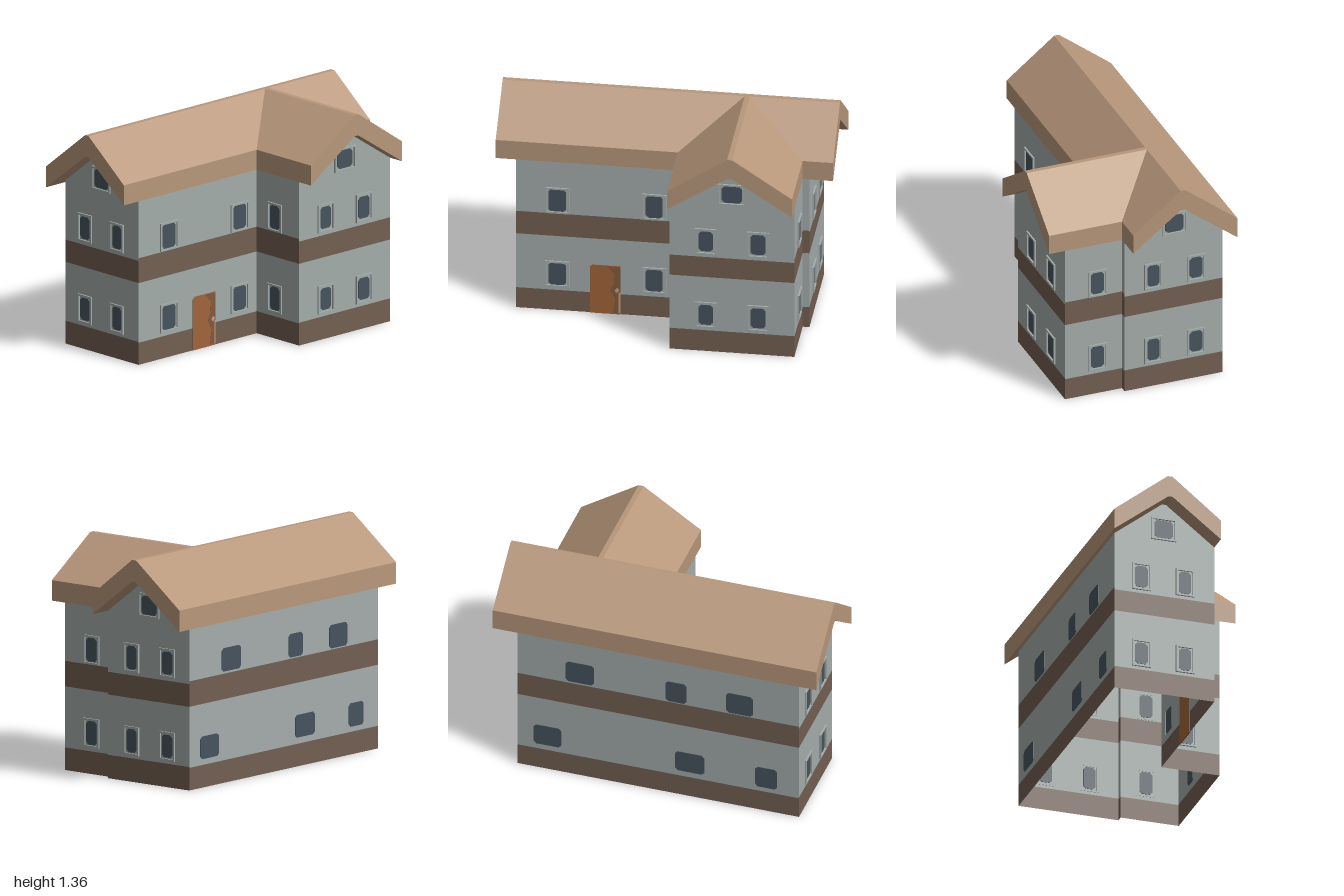
import * as THREE from 'three';

const mat = (name, color, side = THREE.FrontSide) => {
  const m = new THREE.MeshStandardMaterial({ color, side });
  m.name = name;
  return m;
};
const M = {
  wall: mat('grey plaster', 0xa4adab, THREE.DoubleSide),
  band: mat('brown band', 0x735f51, THREE.DoubleSide),
  roof: mat('tan roof', 0xb8977b),
  glass: mat('dark glass', 0x46535e),
  door: mat('orange wood', 0xa0653a),
  doorDark: mat('brown wood', 0x83593f),
  doorLight: mat('pale wood', 0xc9a184),
};

const poly = (pts) => new THREE.Shape(pts.map(([x, y]) => new THREE.Vector2(x, y)));
const rect = (w, h) => poly([[-w / 2, -h / 2], [w / 2, -h / 2], [w / 2, h / 2], [-w / 2, h / 2]]);

function add(parent, name, geometry, material, x = 0, y = 0, z = 0) {
  const mesh = new THREE.Mesh(geometry, material);
  mesh.name = name;
  mesh.position.set(x, y, z);
  parent.add(mesh);
  return mesh;
}

const extrude = (shape, depth) => new THREE.ExtrudeGeometry(shape, { depth, bevelEnabled: false });

// Window: raised lip around a pane with clipped corners; frameW = 0 leaves the pane bare
function addWindow(parent, [u, y, frameW, frameH, paneW, paneH]) {
  const win = new THREE.Group();
  win.name = 'window';
  win.position.set(u, y, 0);
  parent.add(win);
  if (frameW) {
    const ring = rect(frameW, frameH);
    ring.holes.push(rect(frameW - 0.022, frameH - 0.022));
    add(win, 'windowFrame', extrude(ring, 0.012), M.wall, 0, 0, -0.002);
  }
  const w = paneW / 2, h = paneH / 2, c = 0.016;
  const pane = poly([[-w + c, -h], [w - c, -h], [w, -h + c], [w, h - c],
    [w - c, h], [-w + c, h], [-w, h - c], [-w, -h + c]]);
  add(win, 'windowPane', extrude(pane, 0.006), M.glass, 0, 0, -0.003);
}

// Wall facing yaw at distance d; u runs to the right as seen from outside
function addWall(parent, name, yaw, d, u0, u1, [low, high], windows = [], gable = false) {
  const wall = new THREE.Group();
  wall.name = name;
  wall.position.set(Math.sin(yaw) * d, 0, Math.cos(yaw) * d);
  wall.rotation.y = yaw;
  parent.add(wall);
  const strip = (label, y0, y1, material) =>
    add(wall, label, new THREE.PlaneGeometry(u1 - u0, y1 - y0), material, (u0 + u1) / 2, (y0 + y1) / 2);
  strip('baseBand', 0, low, M.band);
  strip('lowerWall', low, 0.5, M.wall);
  strip('middleBand', 0.5, high, M.band);
  const mid = (u0 + u1) / 2;
  const top = gable ? [[u1, 1], [mid + 0.015, 1.23], [mid - 0.015, 1.23], [u0, 1]] : [[u1, 1], [u0, 1]];
  add(wall, 'upperWall', new THREE.ShapeGeometry(poly([[u0, high], [u1, high], ...top])), M.wall);
  windows.forEach((w) => addWindow(wall, w));
  return wall;
}

// The same window on both floors
const floors = (u, frameW, paneW, paneH) =>
  [0.245, 0.742].map((y) => [u, y, frameW, 0.172, paneW, paneH]);

function addDoor(wall) {
  const door = new THREE.Group();
  door.name = 'door';
  door.position.set(-0.35, 0, 0);
  wall.add(door);
  add(door, 'doorLeaf', extrude(poly([[-0.09, 0], [0.09, 0], [0.09, 0.325], [-0.075, 0.325], [-0.09, 0.31]]), 0.008),
    M.door, 0, 0, -0.004);
  const plate = (name, pts, m, z) => add(door, name, extrude(poly(pts), 0.002), m, 0, 0, z);
  plate('doorShade', [[0.045, 0.01], [0.09, 0.01], [0.09, 0.32], [0.01, 0.32], [0.055, 0.27],
    [0.05, 0.2], [0.03, 0.16], [0.06, 0.1]], M.doorDark, 0.0035);
  plate('doorEdge', [[0.08, 0.01], [0.09, 0.01], [0.09, 0.15], [0.08, 0.15]], M.doorLight, 0.005);
  plate('doorHandle', [[0.055, 0.16], [0.07, 0.145], [0.085, 0.165], [0.07, 0.18]], M.doorLight, 0.005);
}

export function createModel() {
  const house = new THREE.Group();
  house.name = 'house';
  const A = [0.135, 0.652], B = [0.14, 0.636];
  const right = Math.PI / 2, left = -Math.PI / 2;

  // Main block
  const front = addWall(house, 'mainFrontWall', 0, 0.1, -0.88, 0.08, A,
    [...floors(-0.635, 0.145, 0.105, 0.148), ...floors(-0.06, 0.145, 0.1, 0.148)]);
  addDoor(front);
  addWall(house, 'mainFrontCorner', 0, 0.1, 0.82, 0.86, A);
  addWall(house, 'mainBackWall', Math.PI, 0.52, -0.86, 0.88, A, [
    [-0.674, 0.238, 0, 0, 0.17, 0.135], [0.205, 0.24, 0, 0, 0.18, 0.135], [0.678, 0.236, 0, 0, 0.135, 0.14],
    [-0.474, 0.735, 0, 0, 0.175, 0.14], [0.12, 0.73, 0, 0, 0.13, 0.14], [0.513, 0.73, 0, 0, 0.165, 0.14]]);
  for (const s of [1, -1]) {
    // u = -z on the +x gable and u = z on the -x gable
    const u0 = s > 0 ? -0.1 : -0.52, u1 = s > 0 ? 0.52 : 0.1;
    addWall(house, 'mainGableWall', s > 0 ? right : left, s > 0 ? 0.86 : 0.88, u0, u1, B, [
      ...floors(s * 0.082, 0.115, 0.075, 0.14), ...floors(s * 0.353, 0.115, 0.08, 0.135),
      [s * 0.215, 1.068, 0.155, 0.142, 0.115, 0.112]], true);
  }

  // Front wing, open towards the main block
  addWall(house, 'wingFrontWall', 0, 0.46, 0.08, 0.82, B, [
    ...floors(0.295, 0.13, 0.085, 0.132), ...floors(0.605, 0.13, 0.09, 0.132),
    [0.45, 1.069, 0.17, 0.14, 0.12, 0.11]], true);
  addWall(house, 'wingRightWall', right, 0.82, -0.46, -0.1, A, floors(-0.256, 0.118, 0.08, 0.142));
  addWall(house, 'wingLeftWall', left, -0.08, 0.1, 0.46, A, floors(0.256, 0.118, 0.08, 0.142));

  // Main roof: bent slab with a longer overhang at the back
  const mainRoof = extrude(poly([[-0.1, 1], [0.2, 1.23], [0.225, 1.23], [0.56, 0.972],
    [0.56, 1.1], [0.23, 1.36], [0.2, 1.36], [-0.1, 1.122]]), 2);
  mainRoof.rotateY(Math.PI / 2).translate(-1, 0, 0);
  add(house, 'mainRoof', mainRoof, M.roof);

  // Wing roof: back end is mitred to meet the main slope
  const wingRoof = extrude(poly([[0.08, 1], [0.435, 1.23], [0.465, 1.23], [0.82, 1],
    [0.82, 1.122], [0.465, 1.36], [0.435, 1.36], [0.08, 1.122]]), 0.56);
  const p = wingRoof.attributes.position;
  for (let i = 0; i < p.count; i++) {
    if (p.getZ(i) < 0.01) {
      const rise = Math.min(1, (0.37 - Math.abs(p.getX(i) - 0.45)) / 0.355);
      p.setZ(i, 0.1 - 0.3 * rise);
    }
  }
  wingRoof.computeVertexNormals();
  add(house, 'wingRoof', wingRoof, M.roof);
  return house;
}
